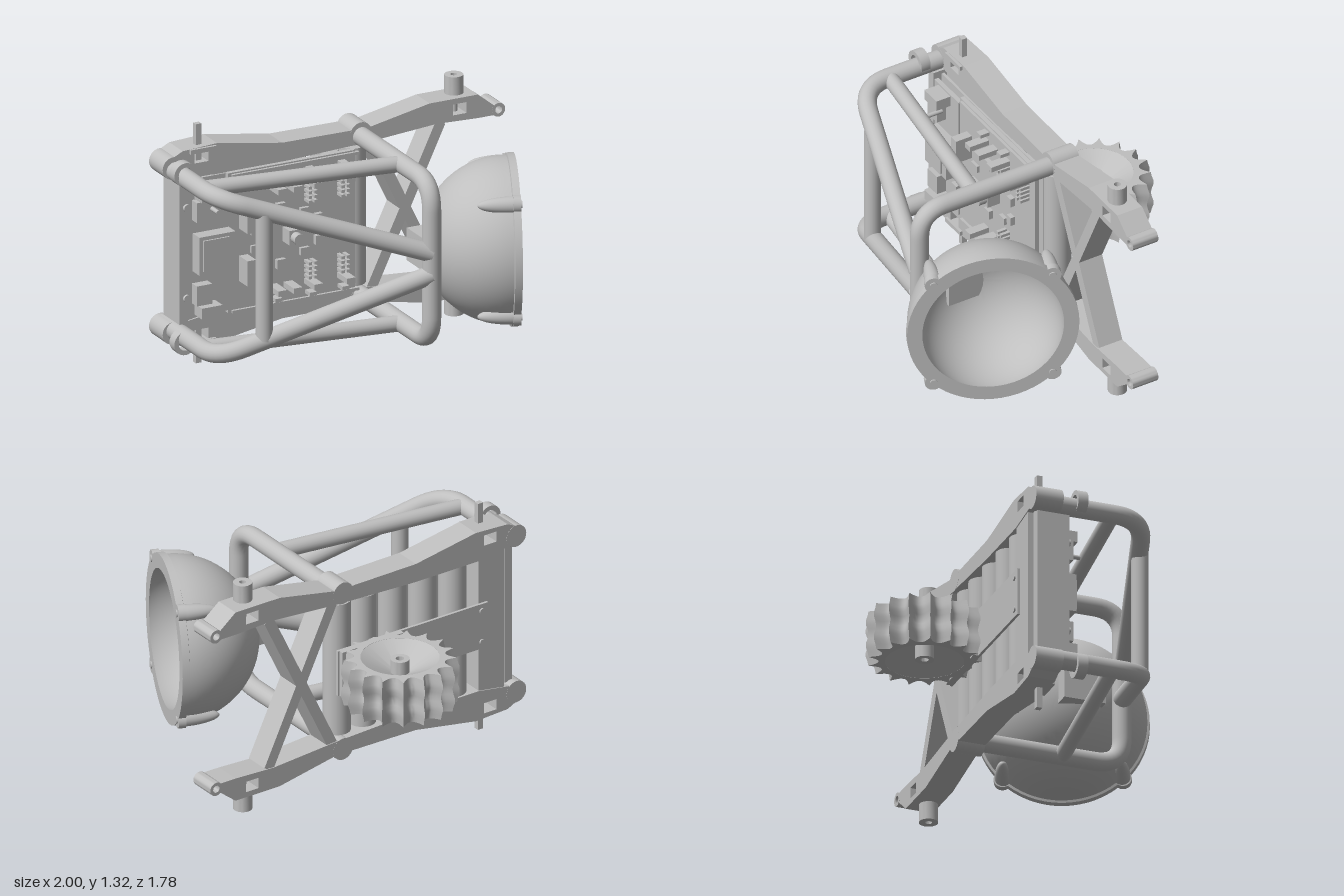
import * as THREE from 'three';
import { mergeVertices, toCreasedNormals } from 'three/addons/utils/BufferGeometryUtils.js';

const MID = 0.66; // height of the mirror plane
const V = (x, y, z) => new THREE.Vector3(x, y, z);

export function createModel() {
  const model = new THREE.Group();
  const grey = new THREE.MeshStandardMaterial({ color: 0xbfbfbf });
  grey.name = 'plain grey';

  function add(name, geo, parent = model) {
    const m = new THREE.Mesh(geo, grey);
    m.name = name;
    parent.add(m);
    return m;
  }
  // box given by its limits
  function box(name, x0, x1, y0, y1, z0, z1, parent) {
    const m = add(name, new THREE.BoxGeometry(x1 - x0, y1 - y0, z1 - z0), parent);
    m.position.set((x0 + x1) / 2, (y0 + y1) / 2, (z0 + z1) / 2);
    return m;
  }
  function cyl(name, r, h, x, y, z, axis = 'y', parent = model) {
    const g = new THREE.CylinderGeometry(r, r, h, 28);
    if (axis === 'z') g.rotateX(Math.PI / 2);
    if (axis === 'x') g.rotateZ(Math.PI / 2);
    const m = add(name, g, parent);
    m.position.set(x, y, z);
    return m;
  }
  // hollow ring, axis along y or z
  function ring(name, r, hole, h, x, y, z, axis) {
    const pts = [[hole, -h / 2], [r, -h / 2], [r, h / 2], [hole, h / 2], [hole, -h / 2]];
    let g = new THREE.LatheGeometry(pts.map(p => new THREE.Vector2(...p)), 28);
    g = toCreasedNormals(g, 0.6);
    if (axis === 'z') g.rotateX(Math.PI / 2);
    const m = add(name, g);
    m.position.set(x, y, z);
  }
  // tube along straight runs with rounded corners
  function tube(name, pts, r, bend = 0.12) {
    const path = new THREE.CurvePath();
    let prev = pts[0];
    for (let i = 1; i < pts.length - 1; i++) {
      const p = pts[i];
      const a = p.clone().add(pts[i - 1].clone().sub(p).setLength(bend));
      const b = p.clone().add(pts[i + 1].clone().sub(p).setLength(bend));
      path.add(new THREE.LineCurve3(prev, a));
      path.add(new THREE.QuadraticBezierCurve3(a, p, b));
      prev = b;
    }
    path.add(new THREE.LineCurve3(prev, pts[pts.length - 1]));
    add(name, new THREE.TubeGeometry(path, 32 * (pts.length - 1), r, 20));
  }

  // ---- parts that repeat above and below the mid plane
  for (const s of [1, -1]) {
    const Y = d => MID + s * d;
    const outline = [[-0.96, 0.5], [-0.88, 0.54], [-0.68, 0.55], [-0.3, 0.485], [0.2, 0.48], [0.56, 0.55],
      [0.84, 0.55], [0.94, 0.47], [0.94, 0.42], [0.84, 0.42], [0.6, 0.43], [0.2, 0.4], [-0.3, 0.38],
      [-0.7, 0.38], [-0.96, 0.42]];
    const shape = new THREE.Shape(outline.map(([x, d]) => new THREE.Vector2(x, Y(d))));
    for (const x of [-0.77, 0.735]) {
      const w = [[-0.04, 0.46], [0.04, 0.46], [0.04, 0.52], [-0.04, 0.52]];
      shape.holes.push(new THREE.Path(w.map(([u, d]) => new THREE.Vector2(x + u, Y(d)))));
    }
    add('sideRail', new THREE.ExtrudeGeometry(shape, { depth: 0.15, bevelEnabled: false }))
      .position.z = -0.35;
    cyl('hoopBoss', 0.062, 0.152, 0.16, Y(0.455), -0.275, 'z');
    cyl('cornerBoss', 0.062, 0.152, -0.935, Y(0.455), -0.275, 'z');
    ring('tipEye', 0.038, 0.02, 0.152, 0.962, Y(0.445), -0.275, 'z');
    ring('tubeClamp', 0.065, 0.04, 0.055, -0.935, Y(0.465), -0.09, 'z');

    // rollers and pins
    ring('roller', 0.05, 0.018, 0.1, 0.735, Y(0.61), -0.265, 'y');
    cyl('rollerStem', 0.019, 0.2, 0.735, Y(0.53), -0.265);
    box('pin', -0.785, -0.752, Y(s > 0 ? 0.45 : 0.66), Y(s > 0 ? 0.66 : 0.45), -0.265, -0.235);
    box('pinCollar', -0.84, -0.69, Y(0.53) - 0.012, Y(0.53) + 0.012, -0.2, -0.185);

    // cage tubes
    tube('sideTube', [V(-0.92, Y(0.44), 0.1), V(0.16, Y(0.44), 0.25)], 0.043);
    tube('diagonalTube', [V(-0.925, Y(0.44), -0.33), V(-0.925, Y(0.44), 0.27), V(0.16, Y(0.06), 0.585)], 0.05, 0.16);
    // cross brace
    const brace = add('crossBrace', new THREE.BoxGeometry(0.06, 0.96, 0.14));
    brace.position.set(0.42, MID, -0.275);
    brace.rotation.z = s * 0.445;
  }

  // ---- front hoop and upright
  tube('frontHoop', [V(0.162, 1.1, -0.33), V(0.162, 1.1, 0.582), V(0.162, 0.22, 0.582), V(0.162, 0.22, -0.33)], 0.05, 0.15);
  tube('cageUpright', [V(-0.69, 0.31, 0.345), V(-0.69, 1.01, 0.345)], 0.045);

  // ---- end frame and battery pack
  box('endBeam', -0.86, -0.7, 0.24, 1.08, -0.345, -0.21);
  box('endColumn', -0.93, -0.88, 0.26, 1.06, -0.32, -0.14);
  for (const x of [-0.59, -0.4, -0.21, -0.02, 0.14]) {
    cyl('batteryCell', 0.073, 0.76, x, MID, -0.265);
    cyl('batteryTip', 0.03, 0.8, x, MID, -0.265);
  }
  box('packPlate', -0.9, 0.12, 0.28, 1.04, -0.205, -0.19);
  box('backPlate', -0.75, 0.2, 0.53, 0.79, -0.36, -0.345);
  for (const y of [0.57, 0.75]) cyl('plateScrew', 0.016, 0.012, -0.71, y, -0.362, 'z');

  // ---- circuit board with its components
  const board = new THREE.Group();
  board.name = 'circuitBoard';
  model.add(board);
  box('boardPlate', -0.64, 0.1, 0.28, 1.05, -0.18, -0.155, board);
  box('sidePanel', -0.93, -0.64, 0.3, 1.02, -0.17, -0.145, board);
  box('mainModule', -0.85, -0.64, 0.55, 0.76, -0.15, -0.07, board);
  box('moduleLid', -0.83, -0.68, 0.57, 0.74, -0.07, -0.06, board);
  box('button', -0.32, -0.245, 0.62, 0.7, -0.16, -0.08, board);
  cyl('buttonCap', 0.03, 0.05, -0.283, MID, -0.06, 'z', board);
  for (const s of [1, -1]) {
    const c = (name, x, d, w, h, z) =>
      box(name, x - w / 2, x + w / 2, MID + s * d - h / 2, MID + s * d + h / 2, -0.16, z, board);
    c('socket', -0.81, 0.23, 0.09, 0.11, -0.09);
    c('port', -0.78, 0.32, 0.12, 0.06, -0.06);
    c('connector', -0.55, 0.145, 0.05, 0.14, -0.06);
    c('chip', -0.34, 0.155, 0.05, 0.05, -0.13);
    c('capacitor', -0.48, 0.05, 0.06, 0.04, -0.14);
    c('smallChip', -0.12, 0.06, 0.04, 0.05, -0.13);
    c('smallChip', -0.2, 0.11, 0.05, 0.04, -0.135);
    for (const x of [-0.37, -0.17, 0.02]) c('edgeTab', x, 0.34, 0.04, 0.02, -0.1);
    for (const x of [-0.38, -0.29, -0.17, 0.02]) c('tallTab', x, 0.28, 0.05, 0.03, -0.04);
    for (const x of [-0.17, 0.02]) {
      for (let i = 0; i < 8; i++) c('headerPin', x + (i % 2 ? 0.016 : -0.016), 0.17 + 0.026 * (i >> 1), 0.018, 0.016, -0.1);
    }
    c('boardEdge', -0.25, 0.375, 0.74, 0.015, -0.14);
    cyl('panelScrew', 0.02, 0.03, -0.89, MID + s * 0.25, -0.14, 'z', board);
  }
  cyl('stud', 0.012, 0.1, -0.765, 0.9, -0.07, 'z', board);

  // ---- toothed wheel: scalloped rim pinched at half height
  const wheel = new THREE.Group();
  wheel.name = 'toothedWheel';
  wheel.position.set(-0.03, MID, -0.59);
  model.add(wheel);
  const teeth = 17, rim = new THREE.Shape();
  for (let i = 0; i < teeth * 10; i++) {
    const a = (i / (teeth * 10)) * Math.PI * 2 + Math.PI / 2 + Math.PI / teeth;
    const u = (i % 10) / 5 - 1;
    const r = 0.25 + 0.06 * Math.pow(Math.abs(u), 2.4);
    rim[i ? 'lineTo' : 'moveTo'](r * Math.cos(a), r * Math.sin(a));
  }
  rim.holes.push(new THREE.Path().absarc(0, 0, 0.205, 0, Math.PI * 2, true));
  let rimGeo = new THREE.ExtrudeGeometry(rim, { depth: 0.26, steps: 10, bevelEnabled: false, curveSegments: 40 });
  rimGeo.translate(0, 0, -0.13).rotateX(-Math.PI / 2);
  const p = rimGeo.attributes.position;
  for (let i = 0; i < p.count; i++) {
    const x = p.getX(i), z = p.getZ(i);
    if (Math.hypot(x, z) < 0.22) continue;
    const k = 1 - 0.05 * Math.pow(Math.cos((p.getY(i) / 0.13) * Math.PI), 2);
    p.setX(i, x * k);
    p.setZ(i, z * k);
  }
  rimGeo.deleteAttribute('normal');
  rimGeo.deleteAttribute('uv');
  rimGeo = toCreasedNormals(mergeVertices(rimGeo), 0.7);
  add('wheelRim', rimGeo, wheel);
  const dish = [[0.04, -0.04], [0.207, -0.13], [0.207, 0.13], [0.04, 0.04]];
  add('wheelDish', toCreasedNormals(new THREE.LatheGeometry(dish.map(q => new THREE.Vector2(...q)), 40), 0.5), wheel);
  ring('wheelHub', 0.05, 0.022, 0.24, -0.03, MID, -0.59, 'y');
  box('wheelMount', -0.2, 0.19, 0.53, 0.79, -0.385, -0.35);

  // ---- lamp bowl, opening along local z
  const lamp = new THREE.Group();
  lamp.name = 'lamp';
  lamp.position.set(0.66, MID, 0.45);
  lamp.rotation.y = 1.17;
  model.add(lamp);
  const profile = [];
  for (let i = 0; i <= 20; i++) {
    const a = -Math.PI / 2 + (i / 20) * 1.6;
    profile.push(new THREE.Vector2(Math.max(0, 0.438 * Math.cos(a)), 0.438 * Math.sin(a)));
  }
  profile.push(new THREE.Vector2(0.45, 0.016), new THREE.Vector2(0.45, 0.055), new THREE.Vector2(0.37, 0.055));
  for (let i = 0; i <= 20; i++) {
    const a = 0.1 - (i / 20) * (Math.PI / 2 + 0.1);
    profile.push(new THREE.Vector2(Math.max(0, 0.375 * Math.cos(a)), 0.375 * Math.sin(a)));
  }
  const bowl = toCreasedNormals(new THREE.LatheGeometry(profile, 64), 0.5);
  bowl.rotateX(Math.PI / 2);
  add('lampBowl', bowl, lamp);
  for (let i = 0; i < 4; i++) {
    const a = Math.PI / 4 + (i * Math.PI) / 2;
    const x = 0.44 * Math.cos(a), y = 0.44 * Math.sin(a);
    cyl('lampLug', 0.046, 0.04, x, y, 0.035, 'z', lamp);
    cyl('lugScrew', 0.02, 0.012, x, y, 0.056, 'z', lamp);
    // teardrop fairing behind each lug
    const f = new THREE.SphereGeometry(1, 24, 12, 0, Math.PI * 2, 0, Math.PI / 2);
    f.rotateX(-Math.PI / 2).scale(0.045, 0.045, 0.19);
    add('lugFairing', f, lamp).position.set(x * 0.985, y * 0.985, 0.02);
  }
  box('lampBracket', 0.18, 0.32, 0.57, 0.75, 0.27, 0.5);

  return model;
}
